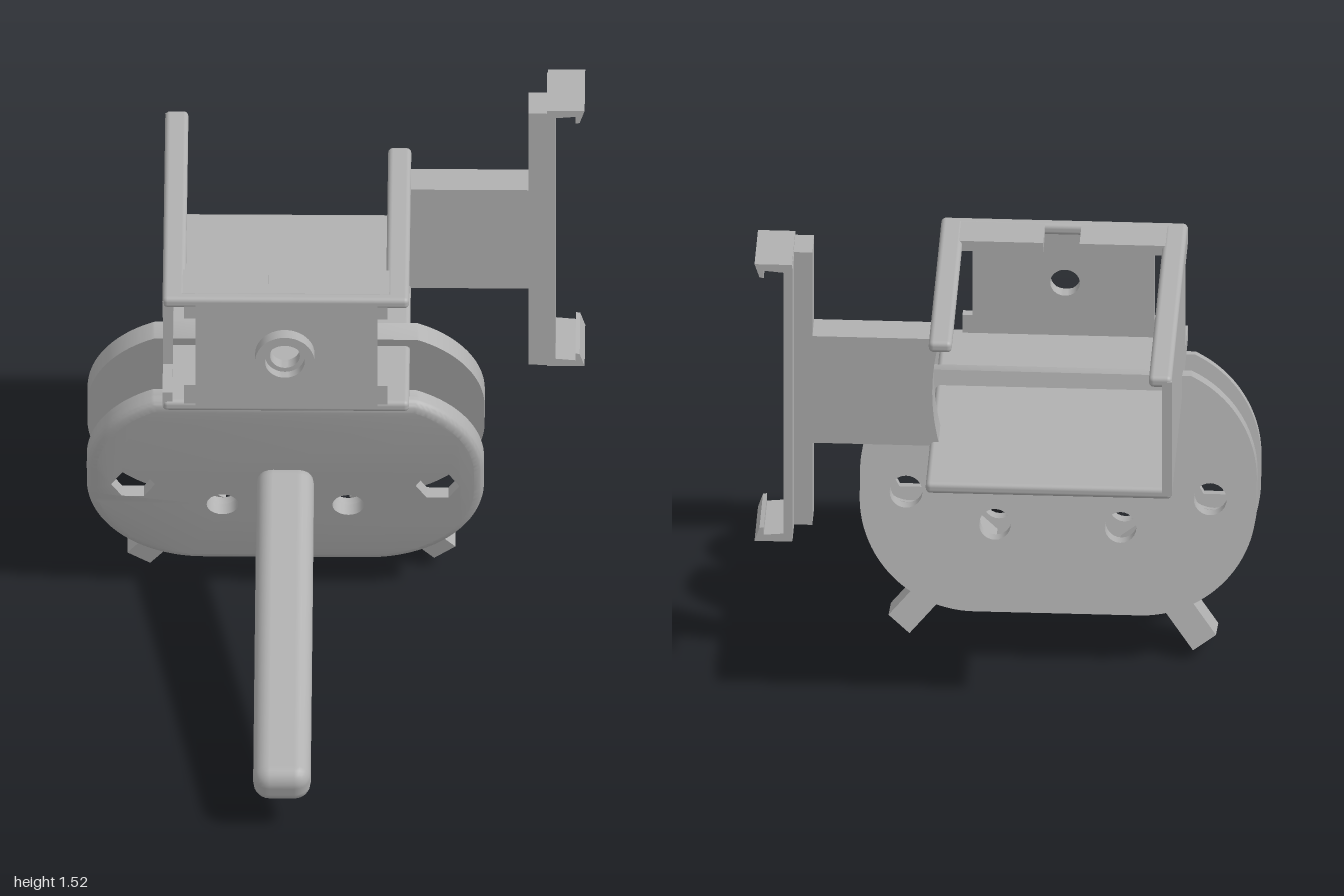
import * as THREE from 'three';
import { toCreasedNormals } from 'three/addons/utils/BufferGeometryUtils.js';
import { RoundedBoxGeometry } from 'three/addons/geometries/RoundedBoxGeometry.js';

const grey = new THREE.MeshStandardMaterial({ color: 0xb0b0b0 });
grey.name = 'grey plastic';

function add(parent, name, geometry) {
  const mesh = new THREE.Mesh(geometry, grey);
  mesh.name = name;
  parent.add(mesh);
  return mesh;
}

// Box given by its limits, with optional rounded edges
function block(parent, name, [x0, x1], [y0, y1], [z0, z1], r = 0) {
  const size = [x1 - x0, y1 - y0, z1 - z0];
  const geometry = r ? new RoundedBoxGeometry(...size, 3, r) : new THREE.BoxGeometry(...size);
  const mesh = add(parent, name, geometry);
  mesh.position.set((x0 + x1) / 2, (y0 + y1) / 2, (z0 + z1) / 2);
  return mesh;
}

function extrude(shape, depth, steps = 1) {
  return new THREE.ExtrudeGeometry(shape, { depth, steps, bevelEnabled: false, curveSegments: 20 });
}

// Plate outline: rounded corners, with the top cut off flat
const R = 0.35, HALF = 0.25, LOW = -0.033, HIGH = 0.05, CUT = 0.368;
function plateShape(holes) {
  const a = Math.asin((CUT - HIGH) / R);
  const s = new THREE.Shape();
  s.moveTo(-HALF, LOW - R);
  s.lineTo(HALF, LOW - R);
  s.absarc(HALF, LOW, R, -Math.PI / 2, 0, false);
  s.absarc(HALF, HIGH, R, 0, a, false);
  s.absarc(-HALF, HIGH, R, Math.PI - a, Math.PI, false);
  s.absarc(-HALF, LOW, R, Math.PI, Math.PI * 1.5, false);
  for (const side of [-1, 1]) {
    for (const [x, y, r, sides] of holes) {
      const hole = new THREE.Path();
      for (let i = 0; i <= sides; i++) {
        const t = -(i / sides) * Math.PI * 2;
        hole[i ? 'lineTo' : 'moveTo'](side * x + r * Math.cos(t), y + r * Math.sin(t));
      }
      s.holes.push(hole);
    }
  }
  return s;
}

// Rounds the outer front rim of a plate layer
function roundRim(geometry, depth, b) {
  const p = geometry.attributes.position;
  for (let i = 0; i < p.count; i++) {
    const x = p.getX(i), y = p.getY(i), d = p.getZ(i) - (depth - b);
    const qx = THREE.MathUtils.clamp(x, -HALF, HALF), qy = THREE.MathUtils.clamp(y, LOW, HIGH);
    const len = Math.hypot(x - qx, y - qy);
    if (d <= 0 || len < 0.31) continue;
    const k = (len - b + Math.sqrt(Math.max(0, b * b - d * d))) / len;
    p.setXY(i, qx + (x - qx) * k, qy + (y - qy) * k);
  }
  return geometry;
}

function buildTilted() {
  const g = new THREE.Group();
  g.name = 'tiltedBase';
  g.position.set(-0.15, 0.465, -0.165);
  g.rotation.x = THREE.MathUtils.degToRad(15);

  // Front plate: hexagonal holes in front, round recesses behind
  const small = [0.19, -0.11, 0.048, 24];
  const front = roundRim(extrude(plateShape([[0.46, -0.015, 0.066, 6], small]), 0.04, 8), 0.04, 0.03);
  add(g, 'frontPlate', toCreasedNormals(front, 0.6)).position.z = -0.04;
  const rear = extrude(plateShape([[0.46, -0.015, 0.1, 32], small]), 0.025);
  add(g, 'frontPlateBacking', toCreasedNormals(rear, 0.6)).position.z = -0.065;
  const back = extrude(plateShape([[0.46, -0.015, 0.05, 24], small]), 0.065);
  add(g, 'backPlate', toCreasedNormals(back, 0.6)).position.z = -0.324;

  // Splayed legs between the plates
  for (const [x, y, deg] of [[-0.33, -0.328, 54], [0.352, -0.304, 131]]) {
    const leg = add(g, 'leg', new THREE.BoxGeometry(0.39, 0.085, 0.145));
    leg.position.set(x, y, -0.163);
    leg.rotation.z = THREE.MathUtils.degToRad(deg);
  }

  // Handle
  block(g, 'handle', [-0.087, 0.087], [-0.064, 0.064], [-0.03, 1.195], 0.05);
  return g;
}

function buildHolder() {
  const g = new THREE.Group();
  g.name = 'holder';
  block(g, 'floor', [-0.52, 0.225], [0.82, 0.858], [-1, -0.04], 0.015);

  // Side wall with a window at its front end
  block(g, 'sideWall', [-0.52, -0.49], [0.835, 1.23], [-1, -0.19]);
  block(g, 'windowSill', [-0.52, -0.49], [0.835, 0.888], [-0.19, -0.045]);
  block(g, 'windowHead', [-0.52, -0.49], [1.17, 1.23], [-0.19, -0.045]);
  block(g, 'sideLip', [-0.52, -0.45], [1.207, 1.245], [-1, -0.04], 0.015);
  block(g, 'openSideRail', [0.155, 0.225], [1.207, 1.245], [-0.82, -0.04], 0.015);

  // Front lip with a notch in the middle
  block(g, 'frontLip', [-0.52, 0.225], [1.207, 1.245], [-0.08, -0.04], 0.015);
  block(g, 'cornerLip', [-0.5, -0.2], [1.21, 1.244], [-0.19, -0.06]);
  block(g, 'cornerLip', [-0.09, 0.2], [1.21, 1.244], [-0.19, -0.06]);

  // Front wall with a round hole and collar
  const wall = new THREE.Shape();
  wall.moveTo(-0.42, 0.835);
  wall.lineTo(0.13, 0.835);
  wall.lineTo(0.13, 1.23);
  wall.lineTo(-0.42, 1.23);
  wall.closePath();
  wall.holes.push(new THREE.Path().absarc(-0.15, 1.04, 0.06, 0, Math.PI * 2, true));
  add(g, 'frontWall', toCreasedNormals(extrude(wall, 0.03), 0.6)).position.z = -0.07;
  for (const x of [-0.455, 0.125]) {
    block(g, 'frontStep', [x, x + 0.035], [0.84, 0.92], [-0.07, -0.042]);
    block(g, 'frontStep', [x, x + 0.035], [1.17, 1.23], [-0.07, -0.042]);
  }
  const ring = [[0.045, -0.03], [0.09, -0.03], [0.09, 0.04], [0.06, 0.04], [0.06, 0.01], [0.045, 0.01], [0.045, -0.03]];
  const collar = new THREE.LatheGeometry(ring.map(([r, y]) => new THREE.Vector2(r, y)), 40);
  const c = add(g, 'collar', toCreasedNormals(collar, 0.6));
  c.rotation.x = Math.PI / 2;
  c.position.set(-0.15, 1.04, -0.04);
  return g;
}

function buildClamp() {
  const g = new THREE.Group();
  g.name = 'sideClamp';

  // Arm with a concave inner edge
  const arm = new THREE.Shape();
  arm.moveTo(0.195, 0.845);
  arm.lineTo(0.59, 0.845);
  arm.lineTo(0.59, 1.215);
  arm.lineTo(0.195, 1.215);
  arm.quadraticCurveTo(0.24, 1.03, 0.195, 0.845);
  add(g, 'arm', toCreasedNormals(extrude(arm, 0.105), 0.6)).position.z = -0.745;

  // Stepped upright bar
  block(g, 'barRib', [0.58, 0.64], [0.56, 1.505], [-0.745, -0.638]);
  block(g, 'barPlate', [0.635, 0.662], [0.56, 1.505], [-0.846, -0.636]);

  // Hooked jaws, mirrored top and bottom
  for (const s of [1, -1]) {
    const y = (v) => 1.037 + s * v;
    const jaw = new THREE.Shape();
    jaw.moveTo(0.637, y(0.45));
    jaw.lineTo(0.722, y(0.458));
    jaw.lineTo(0.722, y(0.432));
    jaw.lineTo(0.735, y(0.435));
    jaw.lineTo(0.75, y(0.48));
    jaw.lineTo(0.637, y(0.48));
    jaw.closePath();
    add(g, 'jaw', extrude(jaw, 0.21)).position.z = -0.846;
  }
  return g;
}

export function createModel() {
  const model = new THREE.Group();
  model.name = 'handheldHolder';
  model.add(buildTilted(), buildHolder(), buildClamp());
  return model;
}
